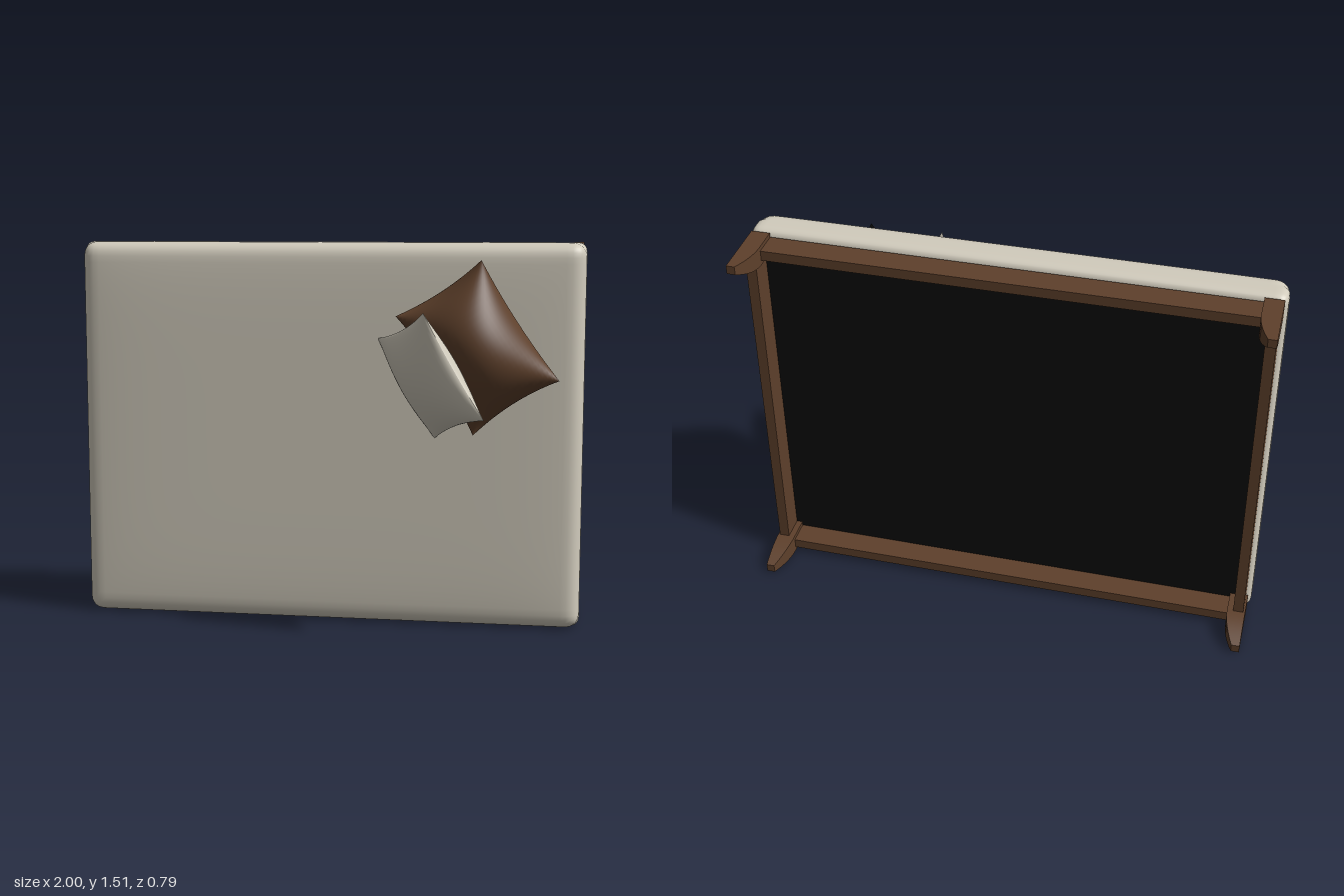
import * as THREE from 'three';
import { mergeVertices } from 'three/addons/utils/BufferGeometryUtils.js';

const linen = new THREE.MeshStandardMaterial({ color: 0xd2ccbd });
linen.name = 'linen';
const wood = new THREE.MeshStandardMaterial({ color: 0x5e402b });
wood.name = 'brown wood';
const brownFabric = wood;
const black = new THREE.MeshStandardMaterial({ color: 0x0a0a0a });
black.name = 'black lining';

const CY = 0.757; // middle height of the upright bed

function addMesh(parent, name, geometry, material, x = 0, y = 0, z = 0) {
  const mesh = new THREE.Mesh(geometry, material);
  mesh.name = name;
  mesh.position.set(x, y, z);
  parent.add(mesh);
  return mesh;
}

// Move every vertex by a rule, then rebuild the normals
function reshape(geometry, rule, smooth = true) {
  const p = geometry.attributes.position;
  const v = new THREE.Vector3();
  for (let i = 0; i < p.count; i++) {
    v.fromBufferAttribute(p, i);
    rule(v);
    p.setXYZ(i, v.x, v.y, v.z);
  }
  if (smooth) {
    geometry.deleteAttribute('normal');
    geometry.deleteAttribute('uv');
    geometry = mergeVertices(geometry, 1e-5);
  }
  geometry.computeVertexNormals();
  return geometry;
}

// Rounded slab with a softly crowned front
function mattressGeometry(w, h, d) {
  const half = new THREE.Vector3(w / 2, h / 2, d / 2);
  const ease = (t) => Math.sin((t * Math.PI) / 2);
  return reshape(new THREE.BoxGeometry(2, 2, 2, 48, 40, 14), (v) => {
    const front = v.z > 0;
    v.set(ease(v.x), ease(v.y), ease(v.z)).multiply(half);
    const r = front ? 0.055 : 0.035;
    const core = v.clone();
    for (const a of ['x', 'y', 'z']) {
      core[a] = THREE.MathUtils.clamp(v[a], r - half[a], half[a] - r);
    }
    const offset = v.clone().sub(core);
    if (offset.lengthSq() > 0) v.copy(core).addScaledVector(offset.normalize(), r);
    const a = v.x / half.x, b = v.y / half.y;
    if (v.z > 0) {
      v.z += 0.022 * (v.z / half.z) * Math.sqrt(Math.max(0, (1 - a ** 6) * (1 - b ** 6)));
    }
  });
}

// One half of a cushion: pinched edges, drooping seam, bulging middle
function cushionHalf(w, h, bulge, sag, side) {
  const geometry = new THREE.PlaneGeometry(2, 2, 28, 28);
  if (side < 0) geometry.rotateY(Math.PI);
  return reshape(geometry, (v) => {
    const u = Math.sin((v.x * Math.PI) / 2), t = Math.sin((v.y * Math.PI) / 2);
    const puff = Math.max(0, (1 - u * u) * (1 - t * t)) ** 0.6;
    v.x = (w / 2) * u * (1 - 0.08 * (1 - t * t));
    v.y = (h / 2) * t * (1 - 0.06 * (1 - u * u));
    v.z = side * bulge * puff - sag * (1 - u * u * t * t);
  });
}

function makeCushion(name, w, h, front, back, sag, frontMaterial, backMaterial) {
  const group = new THREE.Group();
  group.name = name;
  addMesh(group, name + 'Front', cushionHalf(w, h, front, sag, 1), frontMaterial);
  addMesh(group, name + 'Back', cushionHalf(w, h, back, sag, -1), backMaterial);
  return group;
}

// Square foot whose two inner sides curve in towards the tip
function legGeometry(sx, sy) {
  const w = 0.072, h = 0.075, d = 0.25;
  return reshape(new THREE.BoxGeometry(w, h, d, 1, 1, 20), (v) => {
    const s = Math.max(0, (0.025 - v.z) / 0.15);
    const k = 1 - 0.55 * s * s;
    v.x = sx * (w / 2 - (w / 2 - sx * v.x) * k);
    v.y = sy * (h / 2 - (h / 2 - sy * v.y) * k);
  }, false);
}

export function createModel() {
  const model = new THREE.Group();
  model.name = 'daybed';

  addMesh(model, 'mattress', mattressGeometry(2, 1.514, 0.147), linen, 0, CY, -0.0715);

  // Frame
  const frame = new THREE.Group();
  frame.name = 'frame';
  model.add(frame);
  addMesh(frame, 'basePanel', new THREE.BoxGeometry(1.9, 1.42, 0.008), black, 0, CY, -0.151);
  for (const s of [-1, 1]) {
    addMesh(frame, 'longRail', new THREE.BoxGeometry(1.84, 0.04, 0.102), wood, 0, CY + s * 0.715, -0.201);
    addMesh(frame, 'shortRail', new THREE.BoxGeometry(0.04, 1.36, 0.102), wood, s * 0.96, CY, -0.201);
    for (const t of [-1, 1]) {
      addMesh(frame, 'leg', legGeometry(s, t), wood, s * 0.952, CY + t * 0.7145, -0.275);
    }
  }

  // Brown cushion lying on the mattress
  const brown = makeCushion('brownCushion', 0.39, 0.545, 0.18, 0.03, 0.05, brownFabric, black);
  brown.position.set(0.593, 1.115, 0.1);
  brown.rotation.z = 0.585;
  model.add(brown);

  // Pale cushion leaning against the brown one
  const pale = makeCushion('paleCushion', 0.45, 0.45, 0.085, 0.085, 0, linen, linen);
  const xAxis = new THREE.Vector3(0.22, -0.38, 0).normalize();
  const yAxis = new THREE.Vector3(-0.22, -0.12, -0.38);
  const zAxis = xAxis.clone().cross(yAxis).normalize();
  yAxis.crossVectors(zAxis, xAxis);
  pale.quaternion.setFromRotationMatrix(new THREE.Matrix4().makeBasis(xAxis, yAxis, zAxis));
  pale.position.set(0.42, 1.01, 0.205);
  model.add(pale);

  return model;
}
